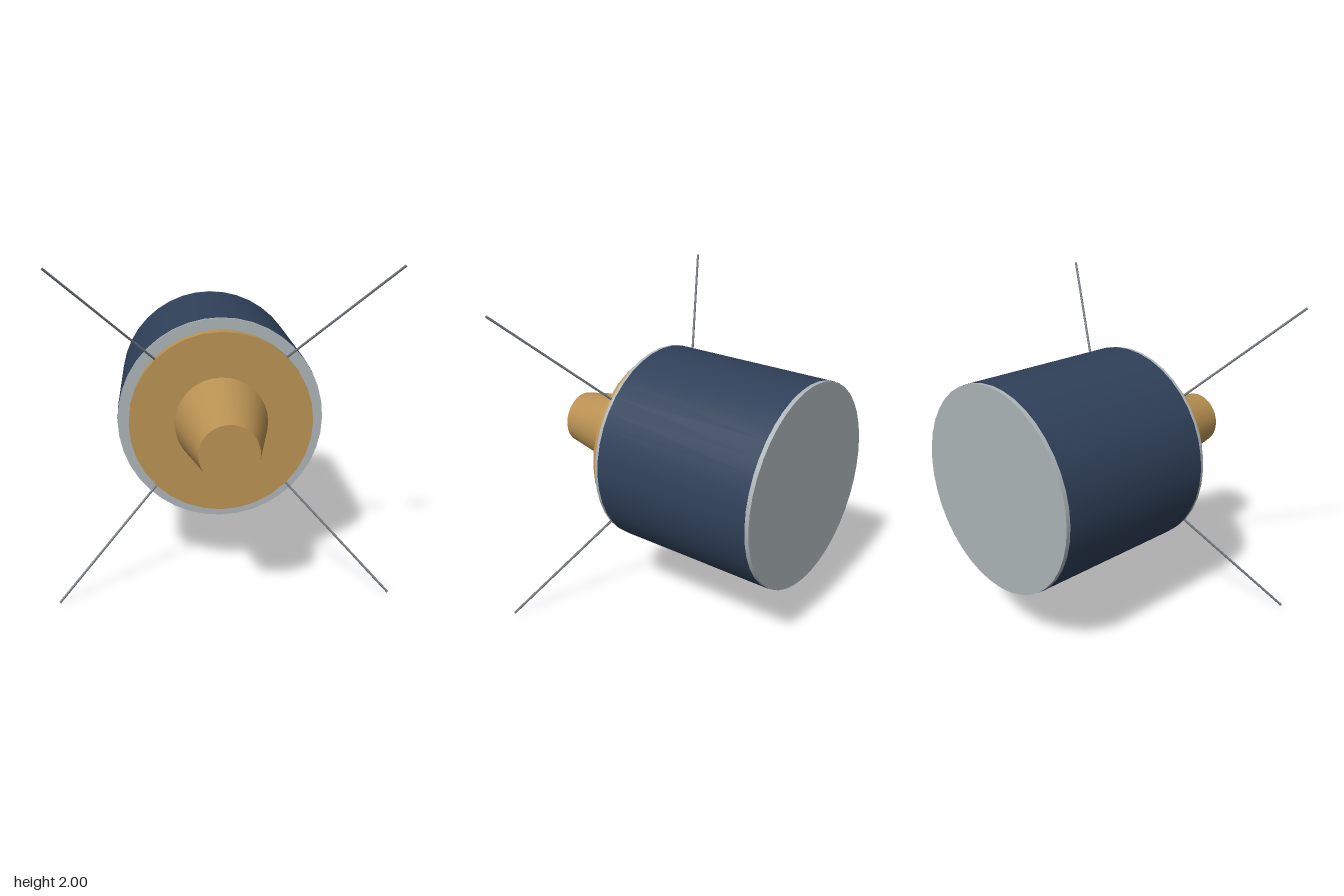
import * as THREE from 'three';

const material = (name, color) => {
  const m = new THREE.MeshStandardMaterial({ color });
  m.name = name;
  return m;
};

export function createModel() {
  const model = new THREE.Group();
  const navy = material('navy blanket', 0x2f4059);
  const silver = material('silver rim', 0xacb4b7);
  const gold = material('gold foil', 0xba9253);
  const steel = material('grey rod', 0x747a80);

  // Round section along z, from back z0 (radius r0) to front z1 (radius r1)
  const section = (name, mat, r0, r1, z0, z1, sides = 40) => {
    const geo = new THREE.CylinderGeometry(r1, r0, z1 - z0, sides);
    geo.rotateX(Math.PI / 2);
    const mesh = new THREE.Mesh(geo, mat);
    mesh.name = name;
    mesh.position.set(0, 1, (z0 + z1) / 2);
    model.add(mesh);
  };

  section('backPlate', silver, 0.638, 0.638, -0.9, -0.873);
  section('body', navy, 0.64, 0.64, -0.873, 0.192);
  section('frontPlate', silver, 0.638, 0.638, 0.192, 0.214);
  section('flange', gold, 0.568, 0.568, 0.214, 0.293, 32);
  section('nozzleCone', gold, 0.288, 0.173, 0.293, 0.9, 32);

  // Four antenna rods fanning out diagonally and forward
  const up = new THREE.Vector3(0, 1, 0);
  for (const sx of [-1, 1]) {
    for (const sy of [-1, 1]) {
      const a = new THREE.Vector3(sx * 0.4, 1 + sy * 0.4, 0.262);
      const b = new THREE.Vector3(sx * 0.994, 1 + sy * 0.994, 0.652);
      const dir = b.clone().sub(a);
      const rod = new THREE.Mesh(new THREE.CylinderGeometry(0.0075, 0.0075, dir.length(), 8), steel);
      rod.name = (sy > 0 ? 'upper' : 'lower') + (sx > 0 ? 'Left' : 'Right') + 'Antenna';
      rod.position.copy(a).add(b).multiplyScalar(0.5);
      rod.quaternion.setFromUnitVectors(up, dir.normalize());
      model.add(rod);
    }
  }
  return model;
}
